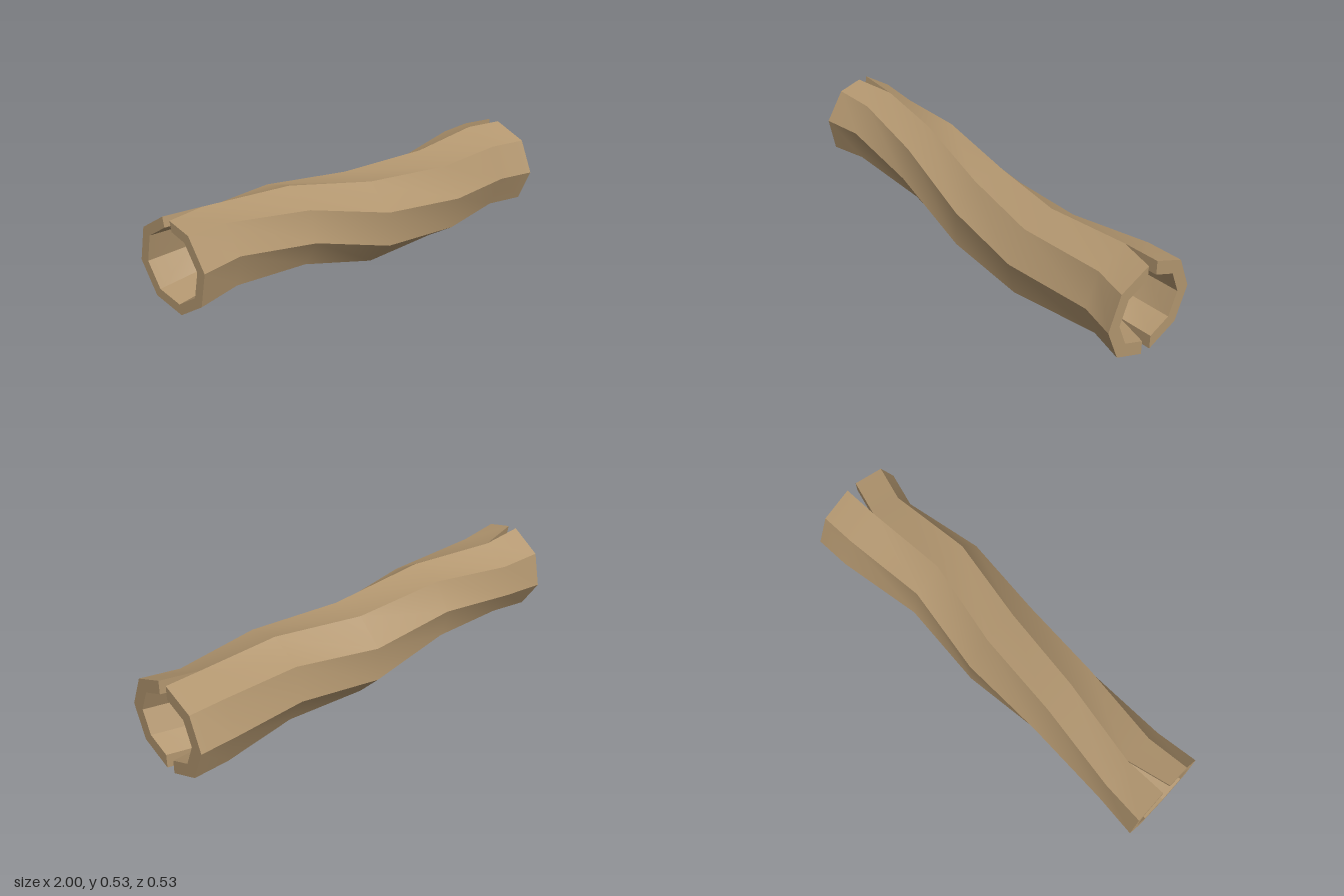
import * as THREE from 'three';
import { toCreasedNormals } from 'three/addons/utils/BufferGeometryUtils.js';

const SIDES = 8;
const ring = (x, y, z, r, turn) => ({ x, y, z, r, turn });

// Octagonal cross-sections of the bark, from the right end to the left end
const bark = [
  ring(-1, 0.32, -0.06, 0.212, -56),
  ring(-0.8, 0.322, -0.058, 0.19, -56),
  ring(-0.4, 0.311, -0.034, 0.193, -37),
  ring(0.02, 0.217, -0.005, 0.216, -22.5),
  ring(0.43, 0.219, 0.047, 0.215, -10),
  ring(0.83, 0.22, -0.007, 0.218, 0),
  ring(1, 0.2185, -0.007, 0.2185, 0),
];

// Hollows at the two ends: straight mouth, then a taper to a small floor
const rightHollow = [
  ring(-1, 0.32, -0.06, 0.165, -56),
  ring(-0.8, 0.322, -0.058, 0.148, -56),
  ring(-0.45, 0.322, -0.05, 0.04, -56),
];
const leftHollow = [
  ring(1, 0.2185, -0.007, 0.153, 0),
  ring(0.83, 0.22, -0.007, 0.153, 0),
  ring(0.5, 0.22, -0.007, 0.04, 0),
];

// Corner k of a ring, as used by one panel; split ends spread open here
function corner(s, k, panel) {
  const a = THREE.MathUtils.degToRad(s.turn + k * 360 / SIDES);
  const p = new THREE.Vector3(s.x, s.y + s.r * Math.cos(a), s.z + s.r * Math.sin(a));
  if (s.x === 1 && panel < 4) p.z += 0.052;
  if (s.x === -1 && panel === 1 && k === 1) { p.z += 0.045; p.y -= 0.004; }
  return p;
}

function addQuad(out, a, b, c, d, flip) {
  const order = flip ? [a, c, b, a, d, c] : [a, b, c, a, c, d];
  for (const p of order) out.push(p.x, p.y, p.z);
}

// Skin between two rings
function addBand(out, s, t, flip) {
  for (let k = 0; k < SIDES; k++) {
    addQuad(out, corner(s, k, k), corner(s, k + 1, k), corner(t, k + 1, k), corner(t, k, k), flip);
  }
}

function makeMesh(name, points, material) {
  let geometry = new THREE.BufferGeometry();
  geometry.setAttribute('position', new THREE.Float32BufferAttribute(points, 3));
  geometry = toCreasedNormals(geometry, 0.5);
  const mesh = new THREE.Mesh(geometry, material);
  mesh.name = name;
  return mesh;
}

export function createModel() {
  const group = new THREE.Group();
  group.name = 'hollowLog';
  const wood = new THREE.MeshStandardMaterial({ color: 0xb2966f, side: THREE.DoubleSide });
  wood.name = 'wood';

  // Twisted outer skin
  const skin = [];
  for (let i = 0; i < bark.length - 1; i++) addBand(skin, bark[i], bark[i + 1], false);
  group.add(makeMesh('bark', skin, wood));

  const ends = [
    { name: 'right', hollow: rightHollow, outer: [bark[0], bark[1]], dir: -1, splits: [[1, 1], [1, 0]] },
    { name: 'left', hollow: leftHollow, outer: [bark[6], bark[5]], dir: 1, splits: [[0, 0], [8, 7], [4, 3], [4, 4]] },
  ];
  for (const { name, hollow, outer, dir, splits } of ends) {
    // Tapering hollow with its small floor
    const inside = [];
    for (let i = 0; i < hollow.length - 1; i++) addBand(inside, hollow[i], hollow[i + 1], dir < 0);
    const last = hollow[hollow.length - 1];
    const mid = new THREE.Vector3(last.x, last.y, last.z);
    for (let k = 0; k < SIDES; k++) {
      const tri = [mid, corner(last, k + 1, k), corner(last, k, k)];
      if (dir < 0) tri.reverse();
      for (const p of tri) inside.push(p.x, p.y, p.z);
    }
    group.add(makeMesh(name + 'Hollow', inside, wood));

    // Cut rim
    const rim = [];
    addBand(rim, outer[0], hollow[0], dir < 0);
    group.add(makeMesh(name + 'Rim', rim, wood));

    // Walls of the wedge-shaped splits
    const walls = [];
    for (const [k, panel] of splits) {
      const flip = (k === panel) === (dir > 0);
      addQuad(walls, corner(outer[0], k, panel), corner(outer[1], k, panel),
        corner(hollow[1], k, panel), corner(hollow[0], k, panel), flip);
    }
    group.add(makeMesh(name + 'SplitWalls', walls, wood));
  }
  return group;
}
